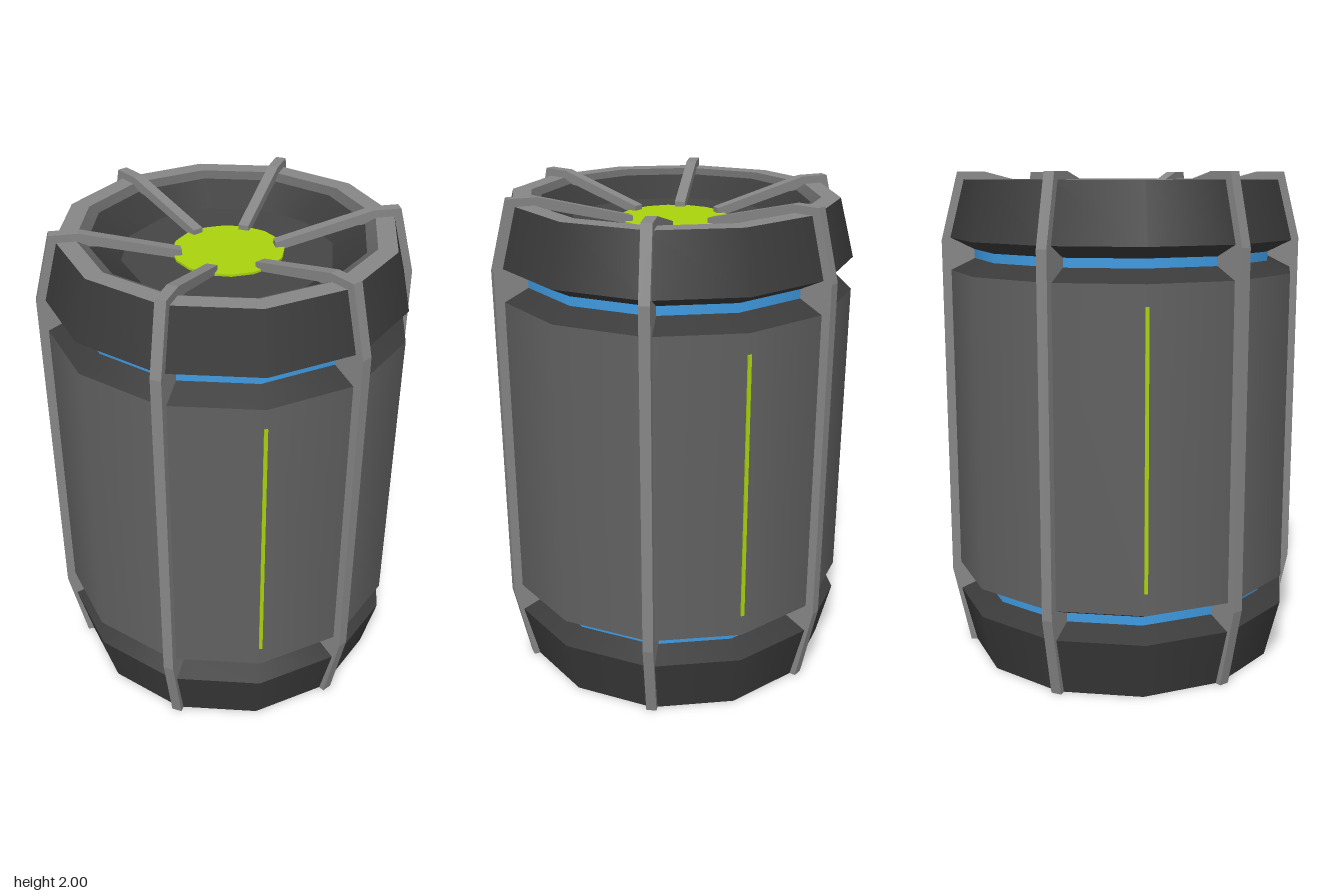
import * as THREE from 'three';

const mat = (name, color, side = THREE.FrontSide) => {
  const m = new THREE.MeshStandardMaterial({ color, side });
  m.name = name;
  return m;
};

export function createModel() {
  const group = new THREE.Group();
  const dark = mat('dark casing', 0x3a3a3a);
  const floorGrey = mat('floor grey', 0x454545);
  const bodyGrey = mat('body grey', 0x616161);
  const ribGrey = mat('rib grey', 0x868686);
  const blue = mat('glow blue', 0x3f9be2);
  const green = mat('signal green', 0xa9d30c);

  const add = (name, geometry, material) => {
    const mesh = new THREE.Mesh(geometry, material);
    mesh.name = name;
    group.add(mesh);
    return mesh;
  };

  // One twelve-sided band between two [radius, height] rings
  const band = (name, a, b, material, sides = 12) =>
    add(name, new THREE.LatheGeometry([new THREE.Vector2(...a), new THREE.Vector2(...b)], sides), material);

  // Shell, from the middle of the base up and over into the bowl
  const shell = [
    ['baseDisc', [0, 0], floorGrey],
    ['baseRing', [0.41, 0], dark],
    ['lowerCap', [0.65, 0], dark],
    ['lowerCapBevel', [0.71, 0.24], dark],
    ['lowerGlowBand', [0.615, 0.282], blue],
    ['lowerBodyBevel', [0.615, 0.318], dark],
    ['body', [0.71, 0.36], bodyGrey],
    ['upperBodyBevel', [0.71, 1.61], dark],
    ['upperGlowBand', [0.615, 1.657], blue],
    ['upperCapBevel', [0.615, 1.693], dark],
    ['upperCap', [0.71, 1.74], dark],
    ['rim', [0.65, 1.97], ribGrey],
    ['rimBevel', [0.575, 1.97], bodyGrey],
    ['bowlWall', [0.535, 1.95], dark],
    ['bowlFloor', [0.41, 1.87], floorGrey],
    ['end', [0, 1.87]],
  ];
  for (let i = 0; i < shell.length - 1; i++) {
    const [name, ring, material] = shell[i];
    band(name, ring, shell[i + 1][1], material);
  }

  // Signal disc in the bowl
  const disc = add('signalDisc', new THREE.CylinderGeometry(0.215, 0.215, 0.009, 16), green);
  disc.position.y = 1.876;

  // Six ribs that run up the side, over the rim and down into the bowl
  const ribProfile = [
    [0.6, 0], [0.67, 0], [0.74, 0.33], [0.74, 1.73], [0.67, 2], [0.56, 2],
    [0.18, 1.9], [0.18, 1.865], [0.5, 1.945], [0.6, 1.95],
  ].map(p => new THREE.Vector2(...p));
  const ribGeometry = new THREE.ExtrudeGeometry(new THREE.Shape(ribProfile), { depth: 0.042, bevelEnabled: false });
  ribGeometry.translate(0, 0, -0.021);
  for (let i = 0; i < 6; i++) {
    add('rib', ribGeometry, ribGrey).rotation.y = Math.PI / 6 + i * Math.PI / 3;
  }

  // Three thin light strips on the body corners
  const stripGeometry = new THREE.BoxGeometry(0.009, 1.08, 0.014);
  stripGeometry.translate(0.7105, 0.99, 0);
  for (let i = 0; i < 3; i++) {
    add('lightStrip', stripGeometry, green).rotation.y = Math.PI / 3 + i * 2 * Math.PI / 3;
  }

  return group;
}
